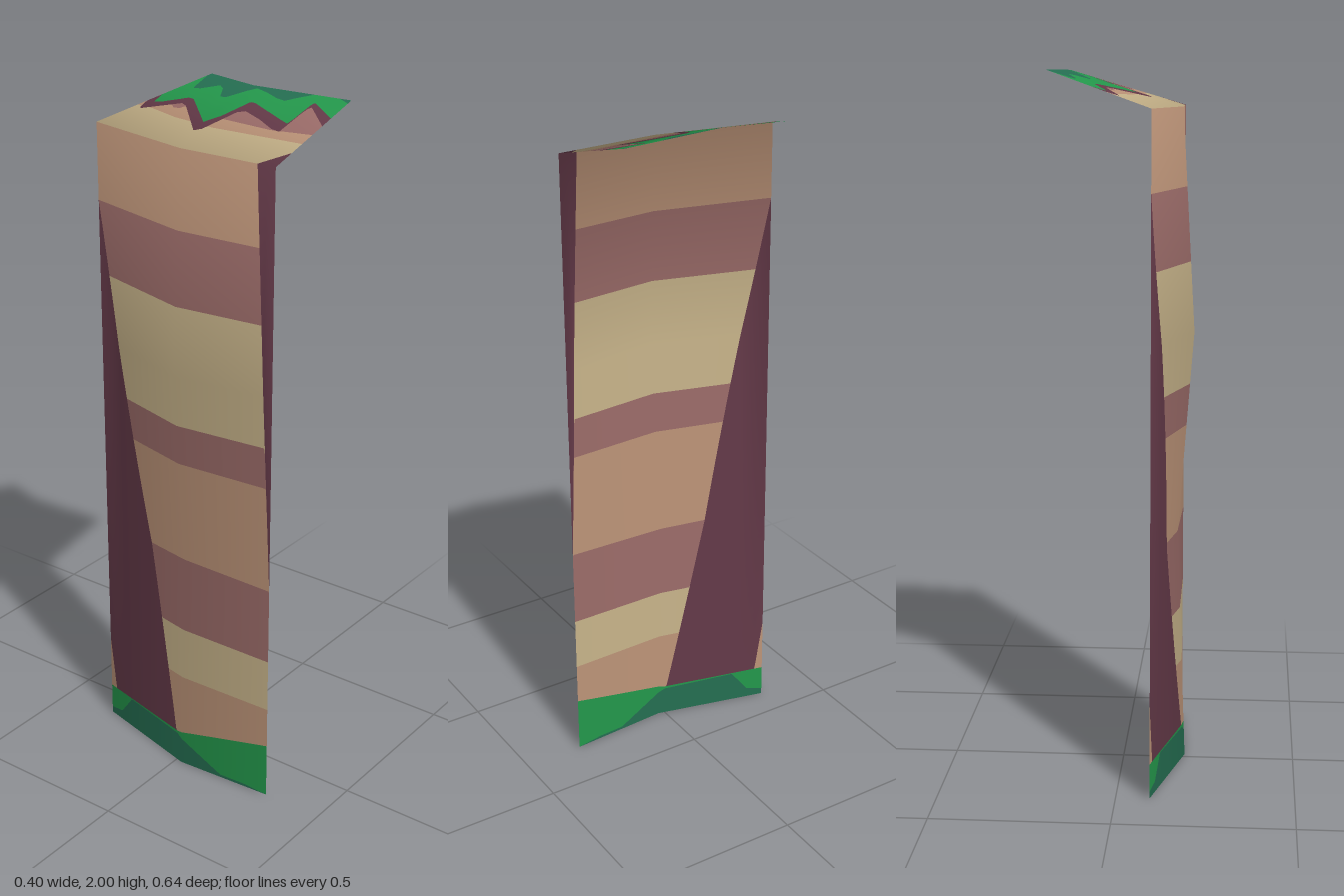
import * as THREE from 'three';

const mat = (name, color) => {
  const m = new THREE.MeshStandardMaterial({ color, side: THREE.DoubleSide });
  m.name = name;
  return m;
};

// Piecewise linear curve through [t, value] points, t ascending
const curve = (...pts) => (t) => {
  if (t <= pts[0][0]) return pts[0][1];
  for (let i = 1; i < pts.length; i++) {
    const [a, p] = pts[i - 1], [b, q] = pts[i];
    if (t <= b) return p + (q - p) * (t - a) / (b - a);
  }
  return pts[pts.length - 1][1];
};

// ---- Sheet shape: a tall wall with a bulging middle line, and a sloping flap on top
const TOP = 1.9, OFF = 9;
const middle = curve([0, -0.18], [0.685, -0.155], [1.27, -0.2], [TOP, -0.165]);
const wallX = (z, y) => curve([-0.32, -0.095], [0.02, middle(y)], [0.32, -0.16])(z);
const crest = (z) => wallX(z, TOP);
const outer = curve([-0.32, -0.095], [-0.15, 0.2], [0.02, 0.16], [0.32, 0.18]);
const rise = curve([-0.32, 0], [-0.15, 0.1], [0.32, 0.1]);
const flapEnd = (z) => TOP + outer(z) - crest(z);

// v is the height on the wall, then TOP plus the reach in x on the flap
function point(z, v) {
  if (v <= TOP) return [wallX(z, v), v, z];
  const reach = v - TOP, width = outer(z) - crest(z);
  return [crest(z) + reach, TOP + rise(z) * reach / Math.max(width, 1e-6), z];
}

// Smooth normals that roll over from the wall into the flap
const normalX = curve([0, 1], [1.27, 1], [TOP, 0.92], [2.25, 0.28]);
const normalY = curve([0, 0], [1.27, 0], [TOP, -0.39], [2.25, -0.96]);
const normal = (z, v) =>
  new THREE.Vector3(normalX(v), normalY(v), (0.08 - 0.47 * z) * normalX(v)).normalize().toArray();

// ---- Painted borders on the wall, as heights along z
const baseShade = curve([-0.32, 0.02], [-0.27, 0.03], [-0.22, 0.097], [0, 0.092], [0.16, 0.008], [0.24, 0.008], [0.32, 0]);
const baseGrass = curve([-0.32, 0.1], [0, 0.1], [0.32, 0.17]);
const sliver = curve([-0.32, 0.27], [-0.295, 0.1], [-0.29, 0]);
const wedge = curve([-0.32, 1.68], [-0.005, 0.1], [0.005, 0]);
const frontStrip = curve([-0.32, OFF], [0.2649, OFF], [0.265, 1.9], [0.285, 1.47], [0.305, 1], [0.32, 0.68]);
const frontCorner = curve([0.265, TOP], [0.32, 1.97]);

// ---- Painted borders on the flap, as x along z
const tanEdge = curve([-0.26, 0.01], [-0.2, 0], [-0.1, -0.03], [0.04, -0.055], [0.32, -0.045]);
const salmonEdge = curve([-0.17, OFF], [-0.165, 0.035], [-0.14, 0.015], [-0.12, 0.015], [-0.1, 0.035],
  [-0.095, OFF], [0.03, OFF], [0.035, -0.01], [0.2, -0.015], [0.32, 0]);
const zigzagStart = curve([-0.248, OFF], [-0.246, -0.002], [-0.235, -0.005], [-0.2, 0.01], [-0.13, 0.04],
  [-0.11, 0.03], [0, -0.08], [0.02, -0.068], [0.06, 0.03], [0.08, 0.042], [0.14, 0.02], [0.2, -0.01],
  [0.228, -0.015], [0.231, 0.1], [0.24, 0.115], [0.32, 0.045]);
const zigzagEnd = curve([-0.226, OFF], [-0.222, 0.033], [-0.2, 0.035], [-0.13, 0.07], [-0.11, 0.065],
  [0, -0.037], [0.03, 0], [0.065, 0.085], [0.08, 0.085], [0.2, 0.035], [0.226, 0.025], [0.231, 0.135],
  [0.24, 0.135], [0.32, 0.085]);
const grassEnd = curve([-0.157, OFF], [-0.154, 0.12], [-0.13, 0.12], [-0.08, 0.145], [-0.06, 0.13],
  [-0.04, 0.09], [-0.02, 0.09], [0, 0.11], [0.04, 0.15], [0.08, 0.14], [0.12, 0.125], [0.15, 0.12],
  [0.17, 0.14], [0.2, 0.165], [0.215, 0.18], [0.28, 0.18], [0.32, 0.163]);

const onFlap = (f) => (z) => Math.min(TOP + f(z) - crest(z), flapEnd(z));
const band = (h) => (z) => Math.min(h, frontStrip(z));
const beforeZigzag = (f) => onFlap((z) => Math.min(f(z), zigzagStart(z)));

export function createModel() {
  const tan = mat('sandstone tan', 0xc9b58b);
  const salmon = mat('clay salmon', 0xbe9579);
  const mauve = mat('dusty mauve', 0x9d6d6a);
  const purple = mat('dark plum', 0x653a49);
  const green = mat('grass green', 0x24994c);
  const shade = mat('deep green', 0x256f52);

  // Colour layers from the ground up; each ends at its upper border
  const layers = [
    ['baseGrassShade', shade, baseShade],
    ['baseGrass', green, baseGrass],
    ['backCornerSliver', salmon, sliver],
    ['backWedge', purple, wedge],
    ['lowestRockBand', salmon, band(0.295)],
    ['lowTanBand', tan, band(0.455)],
    ['lowMauveBand', mauve, band(0.685)],
    ['middleSalmonBand', salmon, band(1.0)],
    ['middleMauveBand', mauve, band(1.12)],
    ['upperTanBandBelowBulge', tan, band(1.27)],
    ['upperTanBandAboveBulge', tan, band(1.47)],
    ['upperMauveBand', mauve, band(1.68)],
    ['topSalmonBand', salmon, band(TOP)],
    ['frontEdgeStrip', purple, () => TOP],
    ['flapFrontCorner', purple, frontCorner],
    ['flapTanBand', tan, beforeZigzag(tanEdge)],
    ['flapSalmonBand', salmon, beforeZigzag(salmonEdge)],
    ['flapMauveBand', mauve, onFlap(zigzagStart)],
    ['flapZigzag', purple, onFlap(zigzagEnd)],
    ['flapGrass', green, onFlap(grassEnd)],
    ['flapGrassShade', shade, flapEnd],
  ];

  // Columns from back to front, each with its stack of borders
  const zs = [-0.15, 0.02, 0.265];
  for (let i = 0; i <= 200; i++) zs.push(-0.32 + 0.64 * i / 200);
  zs.sort((a, b) => a - b);
  const columns = zs.map((z) => {
    let v = 0;
    return [0, ...layers.map(([, , border]) => (v = Math.max(v, Math.min(border(z), flapEnd(z)))))];
  });

  const group = new THREE.Group();
  group.name = 'cliffPanel';
  layers.forEach(([name, material], k) => {
    const pos = [], nor = [];
    for (let i = 0; i + 1 < zs.length; i++) {
      const a = [zs[i], columns[i][k]], b = [zs[i], columns[i][k + 1]];
      const c = [zs[i + 1], columns[i + 1][k + 1]], d = [zs[i + 1], columns[i + 1][k]];
      const tris = [];
      if (b[1] - a[1] > 1e-5) tris.push(a, b, d);
      if (c[1] - d[1] > 1e-5) tris.push(b, c, d);
      for (const [z, v] of tris) {
        pos.push(...point(z, v));
        nor.push(...normal(z, v));
      }
    }
    if (!pos.length) return;
    const geo = new THREE.BufferGeometry();
    geo.setAttribute('position', new THREE.Float32BufferAttribute(pos, 3));
    geo.setAttribute('normal', new THREE.Float32BufferAttribute(nor, 3));
    const mesh = new THREE.Mesh(geo, material);
    mesh.name = name;
    group.add(mesh);
  });
  return group;
}
